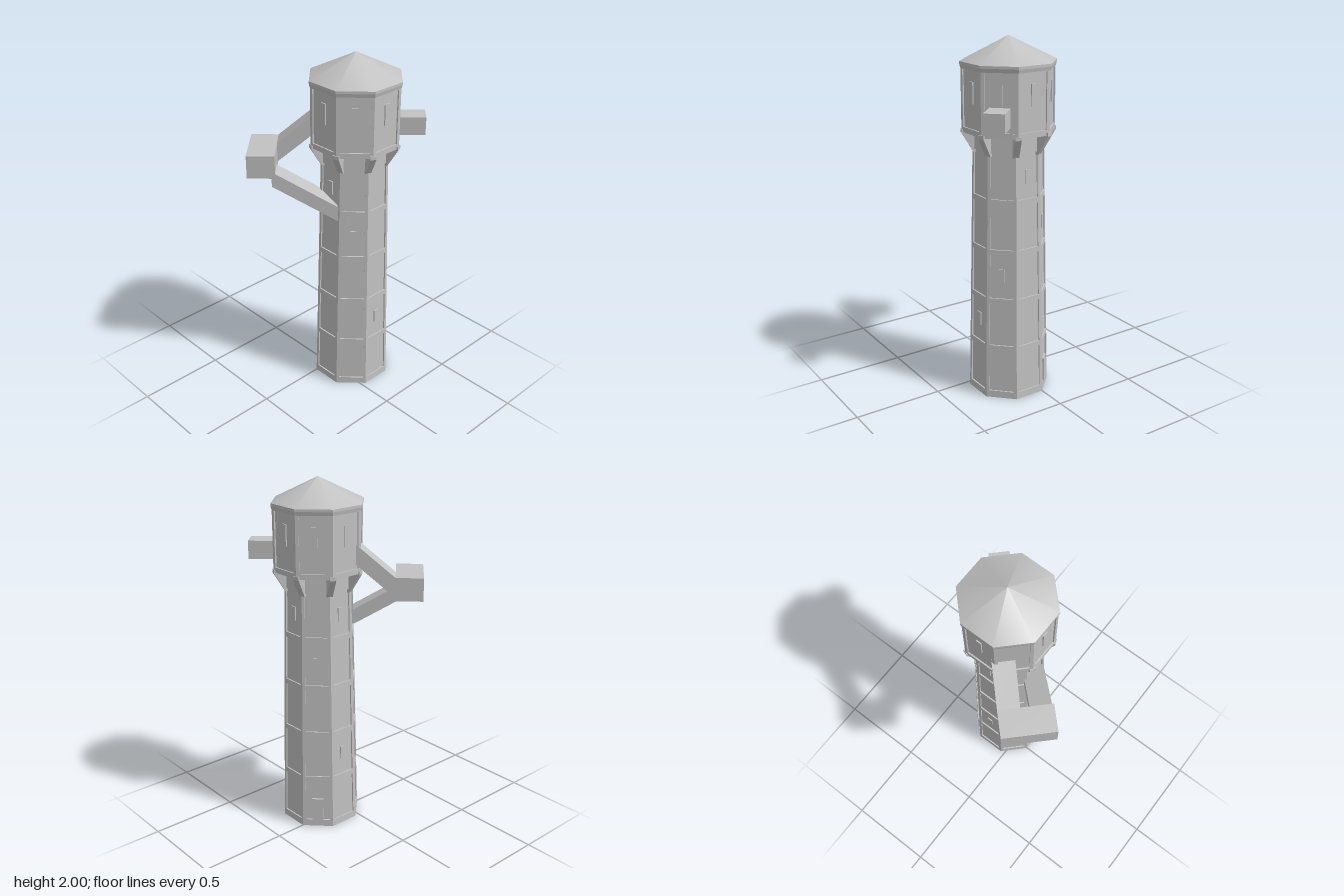
import * as THREE from 'three';

const stone = new THREE.MeshStandardMaterial({ color: 0xc2c2c2 });
stone.name = 'pale grey stone';

const STEP = Math.PI / 4;
const HALF = Math.tan(Math.PI / 8); // half face width per unit of apothem
const RECESS = 0.008;

// Shaft taper
const shaft = { y0: 0, y1: 1.5, a0: 0.212, a1: 0.18 };
const head = { y0: 1.5, y1: 1.85, a0: 0.235, a1: 0.235 };
const apothemAt = (s, y) => s.a0 + (s.a1 - s.a0) * (y - s.y0) / (s.y1 - s.y0);
const tiltOf = (s) => Math.atan((s.a0 - s.a1) / (s.y1 - s.y0));

function add(parent, name, geo) {
  const mesh = new THREE.Mesh(geo, stone);
  mesh.name = name;
  parent.add(mesh);
  return mesh;
}

// Flat-sided octagonal drum, sized by apothem, with faces square to the axes
function octagon(aTop, aBottom, y0, y1) {
  const c = Math.cos(Math.PI / 8);
  const geo = new THREE.CylinderGeometry(aTop / c, aBottom / c, y1 - y0, 8)
    .rotateY(Math.PI / 8).translate(0, (y0 + y1) / 2, 0).toNonIndexed();
  geo.computeVertexNormals();
  return geo;
}

// Stand a geometry on octagon face k (0 = front, 2 = left, 4 = back, 6 = right)
function onFace(geo, s, k, y, depth = 0) {
  return geo.rotateX(-tiltOf(s))
    .translate(0, y, apothemAt(s, y) + depth)
    .rotateY(k * STEP);
}

function quad(PathType, w0, w1, y0, y1) {
  return new PathType([[-w0, y0], [w0, y0], [w1, y1], [-w1, y1]]
    .map(([x, y]) => new THREE.Vector2(x, y)));
}

// Frame of ribs and bands with one opening for each panel
function frame(s, k, rib, panels) {
  const w = (y) => apothemAt(s, y) * HALF;
  const stretch = 1 / Math.cos(tiltOf(s));
  const shape = quad(THREE.Shape, w(s.y0), w(s.y1), 0, (s.y1 - s.y0) * stretch);
  for (const [b, t] of panels) {
    shape.holes.push(quad(THREE.Path, w(b) - rib, w(t) - rib,
      (b - s.y0) * stretch, (t - s.y0) * stretch));
  }
  const geo = new THREE.ExtrudeGeometry(shape, { depth: RECESS, bevelEnabled: false });
  return onFace(geo.translate(0, 0, -RECESS), s, k, s.y0);
}

// Side profile (distance out, height) given a width and pointed outward at an angle
function radial(points, width, angle, offset = 0) {
  const shape = new THREE.Shape(points.map(([r, y]) => new THREE.Vector2(r, y)));
  return new THREE.ExtrudeGeometry(shape, { depth: width, bevelEnabled: false })
    .translate(0, 0, offset - width / 2)
    .rotateY(angle - Math.PI / 2);
}

export function createModel() {
  const model = new THREE.Group();
  model.name = 'tower';
  const tower = new THREE.Group();
  tower.name = 'towerBody';
  tower.position.set(0.114, 0, 0.087);
  model.add(tower);

  // Recessed cores behind the frames
  add(tower, 'shaftCore', octagon(shaft.a1 - RECESS, shaft.a0 - RECESS, 0, 1.5));
  add(tower, 'headCore', octagon(head.a1 - RECESS, head.a0 - RECESS, 1.505, 1.85));
  add(tower, 'baseSlab', octagon(0.2115, 0.212, 0, 0.02));
  add(tower, 'headFloor', octagon(0.235, 0.235, 1.5, 1.52));

  // Shaft and head frames
  const rows = [0, 1, 2, 3, 4].map((i) => [0.04 + i * 0.28, 0.29 + i * 0.28]);
  for (let k = 0; k < 8; k++) {
    add(tower, 'shaftFrame', frame(shaft, k, 0.016, rows));
    add(tower, 'headFrame', frame(head, k, 0.018, [[1.53, 1.835]]));
  }

  // Corbels under the head, one at each corner
  const corbel = [[0.15, 1.39], [0.194, 1.39], [0.256, 1.495], [0.256, 1.515], [0.15, 1.515]];
  for (let k = 0; k < 8; k++) {
    add(tower, 'corbel', radial(corbel, 0.034, (k + 0.5) * STEP));
  }

  // Narrow shaft windows: heights for each face
  const windows = [[0.45], [0.73], [1.28], [1.0], [0.45, 1.28], [0.73], [1.28], [1.0]];
  windows.forEach((heights, k) => {
    for (const y of heights) {
      add(tower, 'shaftWindow',
        onFace(new THREE.BoxGeometry(0.032, 0.076, 0.0095), shaft, k, y, -0.006));
    }
  });

  // Head windows on every face but the one with the arm
  for (let k = 0; k < 8; k++) {
    if (k === 5) continue;
    add(tower, 'headWindow',
      onFace(new THREE.BoxGeometry(0.032, 0.116, 0.0095), head, k, 1.72, -0.006));
  }

  // Door at the foot of the back left face
  add(tower, 'door', onFace(new THREE.BoxGeometry(0.066, 0.148, 0.016), shaft, 3, 0.102, -0.004));

  // Cornice and roof
  add(tower, 'cornice', octagon(0.2405, 0.236, 1.838, 1.858));
  add(tower, 'eave', octagon(0.2405, 0.2405, 1.858, 1.872));
  add(tower, 'roof', new THREE.ConeGeometry(0.2405 / Math.cos(Math.PI / 8), 0.128, 8)
    .rotateY(Math.PI / 8).translate(0, 1.936, 0));

  // Small box on the front left face
  add(tower, 'frontBox',
    radial([[0.2, 1.56], [0.375, 1.56], [0.375, 1.66], [0.2, 1.66]], 0.111, STEP));

  // Outrigger at the back right: box, rising arm and lower strut
  const back = 5 * STEP;
  add(tower, 'outriggerBox',
    radial([[0.421, 1.353], [0.573, 1.353], [0.573, 1.483], [0.421, 1.483]], 0.292, back, -0.035));
  add(tower, 'outriggerArm',
    radial([[0.19, 1.567], [0.425, 1.37], [0.425, 1.48], [0.19, 1.677]], 0.119, back, 0.0515));
  add(tower, 'outriggerStrut',
    radial([[0.04, 1.073], [0.44, 1.305], [0.44, 1.392], [0.04, 1.16]], 0.119, back, -0.1215));

  return model;
}
